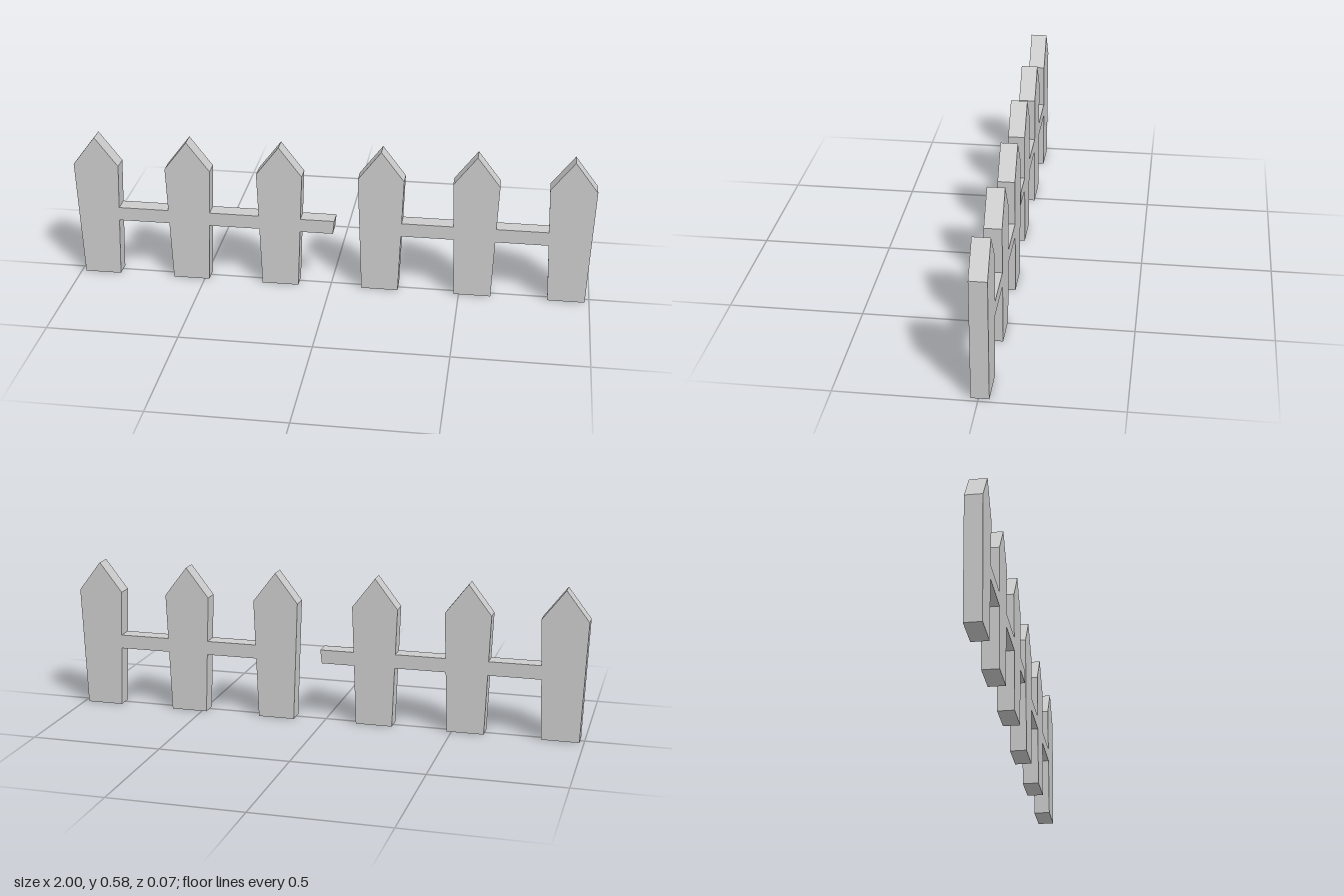
import * as THREE from 'three';

const DEPTH = 0.064;
const SHOULDER = 0.463, PEAK = 0.578;
const BASE_HALF = 0.071, SHOULDER_HALF = 0.088;
const RAIL_LOW = 0.234, RAIL_HIGH = 0.288;

const material = new THREE.MeshStandardMaterial({ color: 0xcccccc, flatShading: true });

// Half width of a picket at height y (it widens towards the shoulder)
const halfAt = (y) => BASE_HALF + (SHOULDER_HALF - BASE_HALF) * y / SHOULDER;

// Flat plank cut from an outline, centred on z = 0
function plank(name, points) {
  const shape = new THREE.Shape(points.map(([x, y]) => new THREE.Vector2(x, y)));
  const geometry = new THREE.ExtrudeGeometry(shape, { depth: DEPTH, bevelEnabled: false });
  geometry.translate(0, 0, -DEPTH / 2);
  const mesh = new THREE.Mesh(geometry, material);
  mesh.name = name;
  return mesh;
}

// Pointed picket standing on the ground
function picket(x) {
  return plank('picket', [
    [x - BASE_HALF, 0], [x + BASE_HALF, 0],
    [x + SHOULDER_HALF, SHOULDER], [x, PEAK], [x - SHOULDER_HALF, SHOULDER],
  ]);
}

// Rail piece fitted flush between two tapered pickets
function rail(x0, x1) {
  return plank('rail', [
    [x0 + halfAt(RAIL_LOW), RAIL_LOW], [x1 - halfAt(RAIL_LOW), RAIL_LOW],
    [x1 - halfAt(RAIL_HIGH), RAIL_HIGH], [x0 + halfAt(RAIL_HIGH), RAIL_HIGH],
  ]);
}

// Fence panel: pickets joined by rail pieces
function panel(name, xs, z) {
  const group = new THREE.Group();
  group.name = name;
  group.position.z = z;
  xs.forEach((x, i) => {
    group.add(picket(x));
    if (i > 0) group.add(rail(xs[i - 1], x));
  });
  return group;
}

export function createModel() {
  const model = new THREE.Group();
  model.name = 'brokenPicketFence';

  const rightPanel = panel('rightPanel', [-0.912, -0.553, -0.197], 0.005);
  const leftPanel = panel('leftPanel', [0.192, 0.552, 0.912], -0.005);

  // Broken rail end reaching into the gap
  const x = -0.197;
  rightPanel.add(plank('brokenRailEnd', [
    [x + halfAt(0.232), 0.232], [0.01, 0.232], [0.016, 0.285], [x + halfAt(0.285), 0.285],
  ]));

  model.add(rightPanel, leftPanel);
  return model;
}
